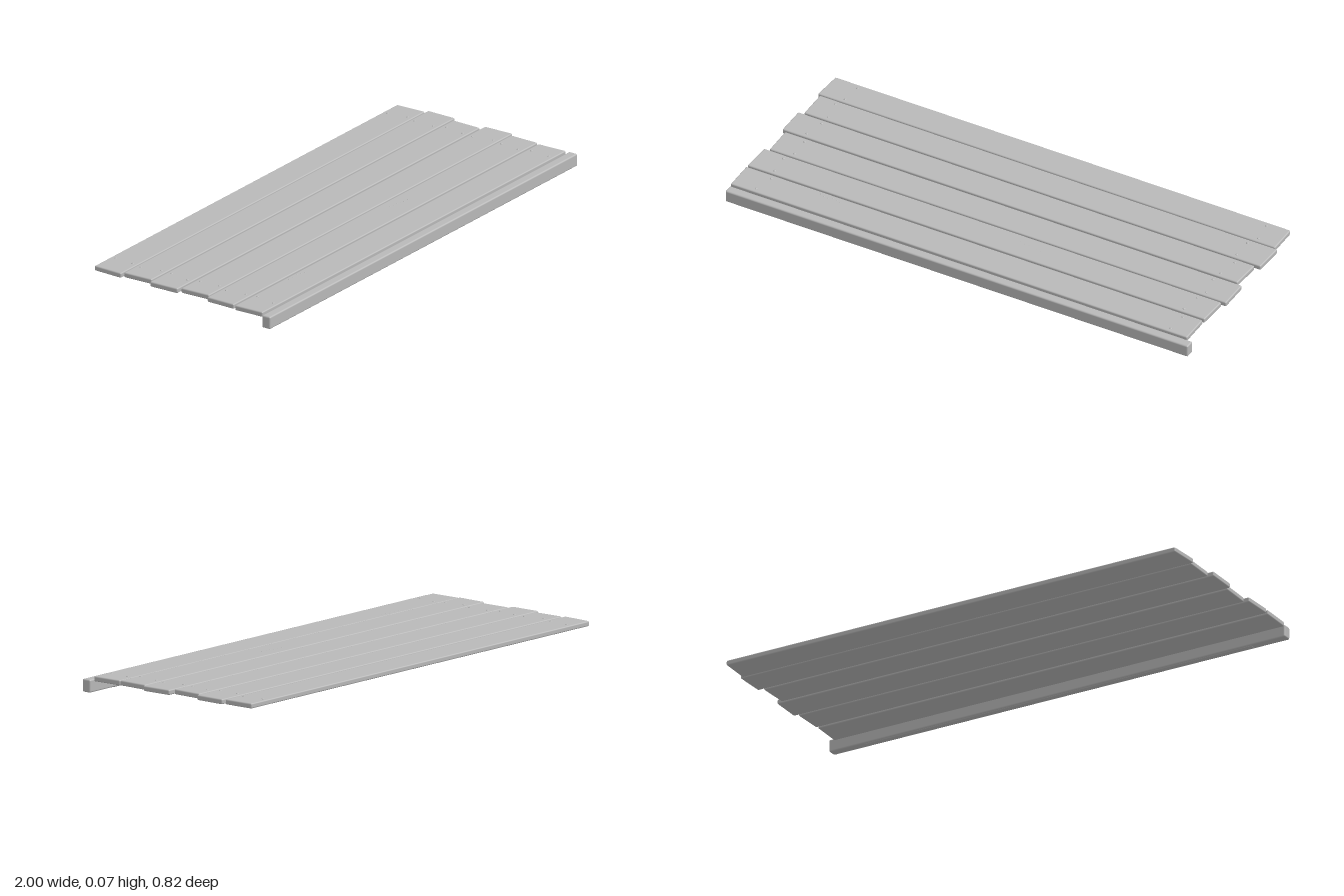
import * as THREE from 'three';
import { RoundedBoxGeometry } from 'three/addons/geometries/RoundedBoxGeometry.js';

const grey = new THREE.MeshStandardMaterial({ color: 0xb8b8b8 });
grey.name = 'weathered grey';

// Rounded board between two corners; skew shifts each end lengthwise across its width
function board(name, x0, x1, y0, y1, z0, z1, radius, skewL = 0, skewR = 0) {
  const w = z1 - z0;
  const geo = new RoundedBoxGeometry(x1 - x0, y1 - y0, w, 2, radius);
  const p = geo.attributes.position;
  for (let i = 0; i < p.count; i++) {
    const t = p.getZ(i) / w;
    p.setX(i, p.getX(i) + t * (p.getX(i) < 0 ? skewL : skewR));
  }
  const mesh = new THREE.Mesh(geo, grey);
  mesh.name = name;
  mesh.position.set((x0 + x1) / 2, (y0 + y1) / 2, (z0 + z1) / 2);
  return mesh;
}

export function createModel() {
  const model = new THREE.Group();
  model.name = 'plankDeck';

  // Front edge beam
  model.add(board('frontBeam', -1, 1, 0.002, 0.052, 0.371, 0.409, 0.006));

  // Planks from front to back: x start, x end, z start, z end, bottom, end skews
  const planks = [
    [-0.999, 0.975, 0.247, 0.372, 0.043, 0.003, 0.003],
    [-0.998, 0.979, 0.117, 0.241, 0.045, -0.003, -0.003],
    [-0.979, 0.996, -0.014, 0.111, 0.045, 0.004, 0.002],
    [-0.998, 0.973, -0.146, -0.021, 0.046, 0.002, -0.004],
    [-0.979, 0.997, -0.278, -0.153, 0.046, 0.003, -0.002],
    [-0.99, 0.983, -0.409, -0.284, 0.045, -0.006, 0.003],
  ];
  const nailGeo = new THREE.SphereGeometry(0.006, 8, 4, 0, Math.PI * 2, 0, Math.PI / 2);
  const nailHead = (name, x, y, z, s = 1) => {
    const nail = new THREE.Mesh(nailGeo, grey);
    nail.name = name;
    nail.position.set(x, y, z);
    nail.scale.set(s, 0.6 * s, s);
    model.add(nail);
  };

  planks.forEach(([x0, x1, z0, z1, y, sl, sr], i) => {
    const top = y + 0.02;
    model.add(board('plank' + (i + 1), x0, x1, y, top, z0, z1, 0.005, sl, sr));
    // Two nails at each end
    for (const side of [-1, 1]) {
      for (const [k, f] of [[0, 0.17], [1, 0.84]]) {
        const x = side * (0.89 + 0.012 * Math.sin(i * 2.3 + k * 1.7 + side));
        nailHead('nail', x, top - 0.0005, z0 + f * (z1 - z0));
      }
    }
  });

  // Small knots in rows on the front planks
  for (let i = 0; i < 6; i++) {
    nailHead('knot', 0.135 + i * 0.019, 0.0645, 0.158 + i * 0.003, 0.5);
    nailHead('knot', -0.67 + i * 0.018, 0.0625, 0.262 + (i % 3) * 0.005, 0.5);
  }
  // Underside foot of the beam
  model.add(board('beamFoot', -0.85, 0.85, 0, 0.02, 0.377, 0.403, 0.003));
  return model;
}
